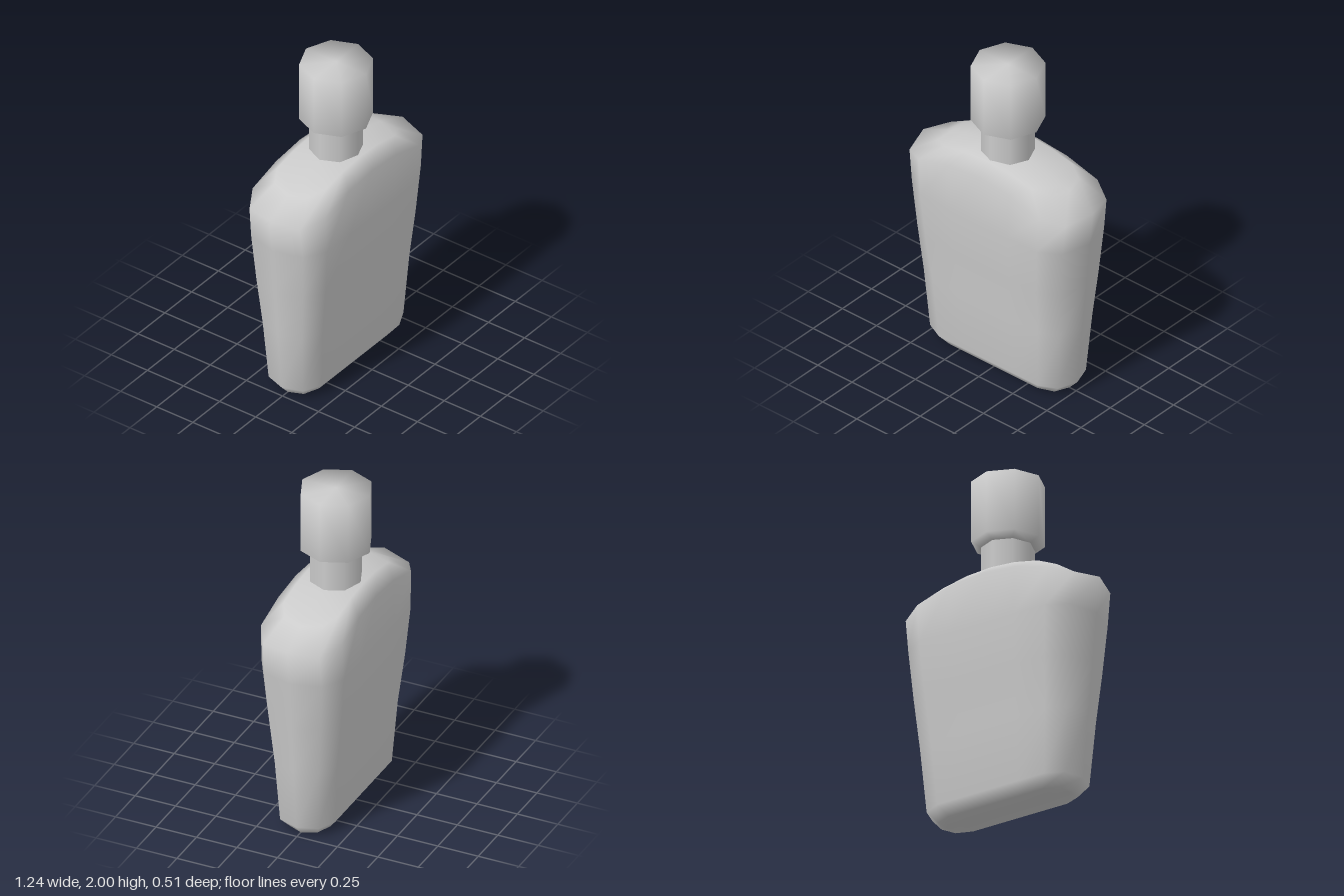
import * as THREE from 'three';
import { mergeVertices } from 'three/addons/utils/BufferGeometryUtils.js';

const material = new THREE.MeshStandardMaterial({ color: 0xcccccc });

// Outline of the body as fractions of its half width and half depth
const quarter = [[1, 0], [0.92, 0.7], [0.71, 1], [0.355, 1]];
const outline = [
  ...quarter,
  [0, 1],
  ...quarter.slice(1).reverse().map(([x, z]) => [-x, z]),
  ...quarter.map(([x, z]) => [-x, -z]),
  [0, -1],
  ...quarter.slice(1).reverse().map(([x, z]) => [x, -z]),
];

// Height of the arched shoulder at x
const arch = (x) => 1.425 - 0.41 * x * x;

// Joins stacked cross-sections { hx, hz, y(x, depthFraction) } into a smooth skin
function loft(sections) {
  const positions = [], indices = [], n = outline.length;
  for (const { hx, hz, y } of sections) {
    for (const [u, v] of outline) positions.push(u * hx, y(u * hx, Math.abs(v)), v * hz);
  }
  for (let r = 0; r < sections.length - 1; r++) {
    for (let j = 0; j < n; j++) {
      const a = r * n + j, b = r * n + ((j + 1) % n);
      indices.push(a, a + n, b, b, a + n, b + n);
    }
  }
  const geometry = new THREE.BufferGeometry();
  geometry.setAttribute('position', new THREE.Float32BufferAttribute(positions, 3));
  geometry.setIndex(indices);
  const merged = mergeVertices(geometry);
  merged.computeVertexNormals();
  return merged;
}

// Eight-sided turned part from [radius, height] pairs
function turned(name, profile) {
  const points = profile.map(([r, y]) => new THREE.Vector2(r, y));
  const mesh = new THREE.Mesh(new THREE.LatheGeometry(points, 8), material);
  mesh.name = name;
  return mesh;
}

export function createModel() {
  const group = new THREE.Group();
  group.name = 'bottle';

  // Flat body, widening upward to an arched shoulder
  const level = (hx, hz, y) => ({ hx, hz, y: () => y });
  const body = new THREE.Mesh(loft([
    level(0.45, 0, 0),
    level(0.45, 0.12, 0),
    level(0.51, 0.17, 0.065),
    level(0.545, 0.195, 0.45),
    level(0.573, 0.23, 0.75),
    level(0.6, 0.255, 1.05),
    { hx: 0.622, hz: 0.25, y: (x, d) => arch(x) - 0.065 * d },
    { hx: 0.45, hz: 0.17, y: arch },
    { hx: 0.45, hz: 0, y: arch },
  ]), material);
  body.name = 'body';
  group.add(body);

  // Neck sunk slightly into the shoulder
  group.add(turned('neck', [[0.152, 1.38], [0.152, 1.61]]));

  // Stopper with a bevelled underside and a softly shaded flat top
  group.add(turned('stopper', [[0, 1.6], [0.152, 1.6], [0.208, 1.63], [0.208, 2], [0, 2]]));

  return group;
}
